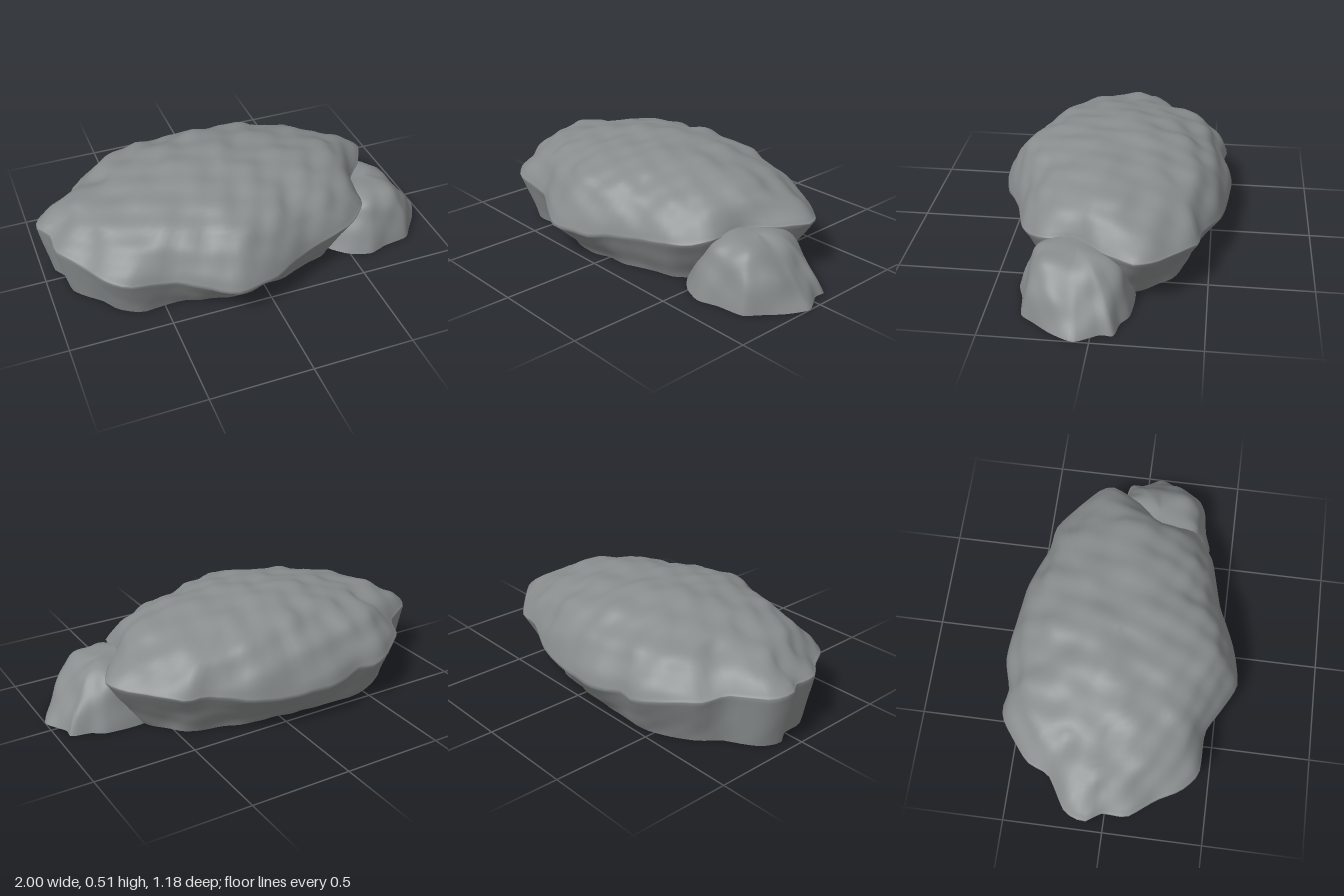
import * as THREE from 'three';

const SEGMENTS = 110;
const material = new THREE.MeshStandardMaterial({ color: 0x898d8d });

// Smooth lumps made from a few warped sine waves, about -1 to 1
function lumps(x, y, z) {
  const a = Math.sin(7.1 * x + 2.3 * Math.sin(4.3 * z + 1) + 3 * y);
  const b = Math.sin(8.7 * z + 1.9 * Math.sin(5.1 * x) - 6 * y + 2);
  const c = Math.sin(17 * x + 9 * z + 14 * y) * Math.sin(15 * z - 8 * x + 11 * y + 1);
  const d = Math.sin(31 * x - 12 * z + 9 * y) * Math.sin(27 * z + 14 * x - 22 * y);
  return 0.3 * a + 0.3 * b + 0.4 * c + 0.25 * d;
}

// Closed boulder: rings follow the plan outline and round off to an ellipse near the apex.
// The outline runs anticlockwise seen from above.
// section(t, dx, dz) gives [scale, height] at t = 0 (ground) to 1 (apex).
function boulder({ name, outline, apex, radii, rings, section, roughness }) {
  const curve = new THREE.CatmullRomCurve3(
    outline.map(([x, z]) => new THREE.Vector3(x, 0, z)), true, 'catmullrom', 0.3);
  const plan = curve.getSpacedPoints(SEGMENTS).slice(0, SEGMENTS);
  const positions = [], index = [];
  for (let i = 0; i < rings; i++) {
    const t = i / rings;
    for (const p of plan) {
      const d = Math.hypot(p.x - apex.x, p.z - apex.z);
      const dx = (p.x - apex.x) / d, dz = (p.z - apex.z) / d;
      const [s, y] = section(t, dx, dz);
      const oval = 1 / Math.hypot(dx / radii[0], dz / radii[1]);
      const r = s * THREE.MathUtils.lerp(oval, d, s * s);
      const n = roughness * lumps(apex.x + dx * r, y, apex.z + dz * r);
      // The widest ring keeps its outline, the ground ring stays level
      const out = r + n * s * Math.min(1, 4 * (1 - s));
      const up = n * 0.5 * Math.min(1, t * 3);
      positions.push(apex.x + dx * out, Math.max(0, y + up), apex.z + dz * out);
    }
  }
  const top = positions.length / 3;
  positions.push(apex.x, apex.y + roughness * 0.5 * lumps(apex.x, apex.y, apex.z), apex.z);
  for (let i = 0; i < rings; i++) {
    for (let j = 0; j < SEGMENTS; j++) {
      const k = (j + 1) % SEGMENTS, a = i * SEGMENTS + j, b = i * SEGMENTS + k;
      if (i === rings - 1) index.push(a, b, top);
      else index.push(a, b, b + SEGMENTS, a, b + SEGMENTS, a + SEGMENTS);
    }
  }
  // Flat underside with its own vertices, so the ground edge stays sharp
  const base = positions.length / 3;
  positions.push(...positions.slice(0, SEGMENTS * 3), apex.x, 0, apex.z);
  for (let j = 0; j < SEGMENTS; j++) {
    index.push(base + SEGMENTS, base + (j + 1) % SEGMENTS, base + j);
  }
  const geometry = new THREE.BufferGeometry();
  geometry.setAttribute('position', new THREE.Float32BufferAttribute(positions, 3));
  geometry.setIndex(index);
  geometry.computeVertexNormals();
  const mesh = new THREE.Mesh(geometry, material);
  mesh.name = name;
  return mesh;
}

export function createModel() {
  const group = new THREE.Group();
  group.name = 'rocks';

  // Shoulder of the large rock from rim to apex: [scale, share of height]
  const shoulder = new THREE.SplineCurve([
    [1, 0], [0.965, 0.22], [0.9, 0.43], [0.79, 0.65], [0.58, 0.83], [0.33, 0.93], [0, 1],
  ].map(([s, h]) => new THREE.Vector2(s, h)));

  // Large rock: undercut sides, steep shoulders and a broad, nearly flat top
  group.add(boulder({
    name: 'largeRock',
    outline: [
      [0.78, -0.17], [0.74, -0.26], [0.53, -0.44], [0.4, -0.46], [0.18, -0.55],
      [-0.2, -0.595], [-0.38, -0.55], [-0.48, -0.565], [-0.56, -0.54], [-0.74, -0.4],
      [-0.8, -0.28], [-0.96, -0.18], [-1, -0.08], [-0.95, 0], [-0.95, 0.12],
      [-0.85, 0.25], [-0.79, 0.36], [-0.69, 0.44], [-0.48, 0.45], [-0.35, 0.52],
      [-0.2, 0.59], [0, 0.55], [0.2, 0.46], [0.45, 0.39], [0.58, 0.28],
      [0.6, 0.1], [0.7, -0.02],
    ],
    apex: new THREE.Vector3(-0.08, 0.51, -0.02),
    radii: [0.86, 0.56],
    rings: 48,
    roughness: 0.035,
    section: (t, dx, dz) => {
      const waist = 0.17 + 0.1 * dx * dx;
      const foot = 0.77 + (dx < 0 ? 0.17 : 0.04) * dx * dx;
      if (t < 0.25) return [foot + (1 - foot) * t * 4, waist * t * 4];
      const p = shoulder.getPointAt((t - 0.25) / 0.75);
      // The long ends slope more gently than the front and back
      const share = Math.pow(Math.max(0, p.y), 1 + 0.5 * dx * dx);
      return [p.x, waist + (0.51 - waist) * share];
    },
  }));

  // Small rock against the large one, sloping down on its outer side
  group.add(boulder({
    name: 'smallRock',
    outline: [
      [0.58, -0.16], [0.44, 0.05], [0.4, 0.24], [0.49, 0.34], [0.6, 0.38],
      [0.7, 0.35], [0.83, 0.33], [0.88, 0.27], [0.95, 0.18], [1, 0.07],
      [0.94, -0.04], [0.94, -0.1], [0.85, -0.12], [0.78, -0.16],
    ],
    apex: new THREE.Vector3(0.67, 0.27, 0.09),
    radii: [0.3, 0.26],
    rings: 32,
    roughness: 0.028,
    section: (t, dx, dz) => {
      const power = 2 + 4 * dz * dz + (dx < 0 ? 2 * dx * dx : 0);
      const s = Math.cos(t * Math.PI / 2);
      return [s, 0.27 * (1 - Math.pow(s, power))];
    },
  }));

  return group;
}
